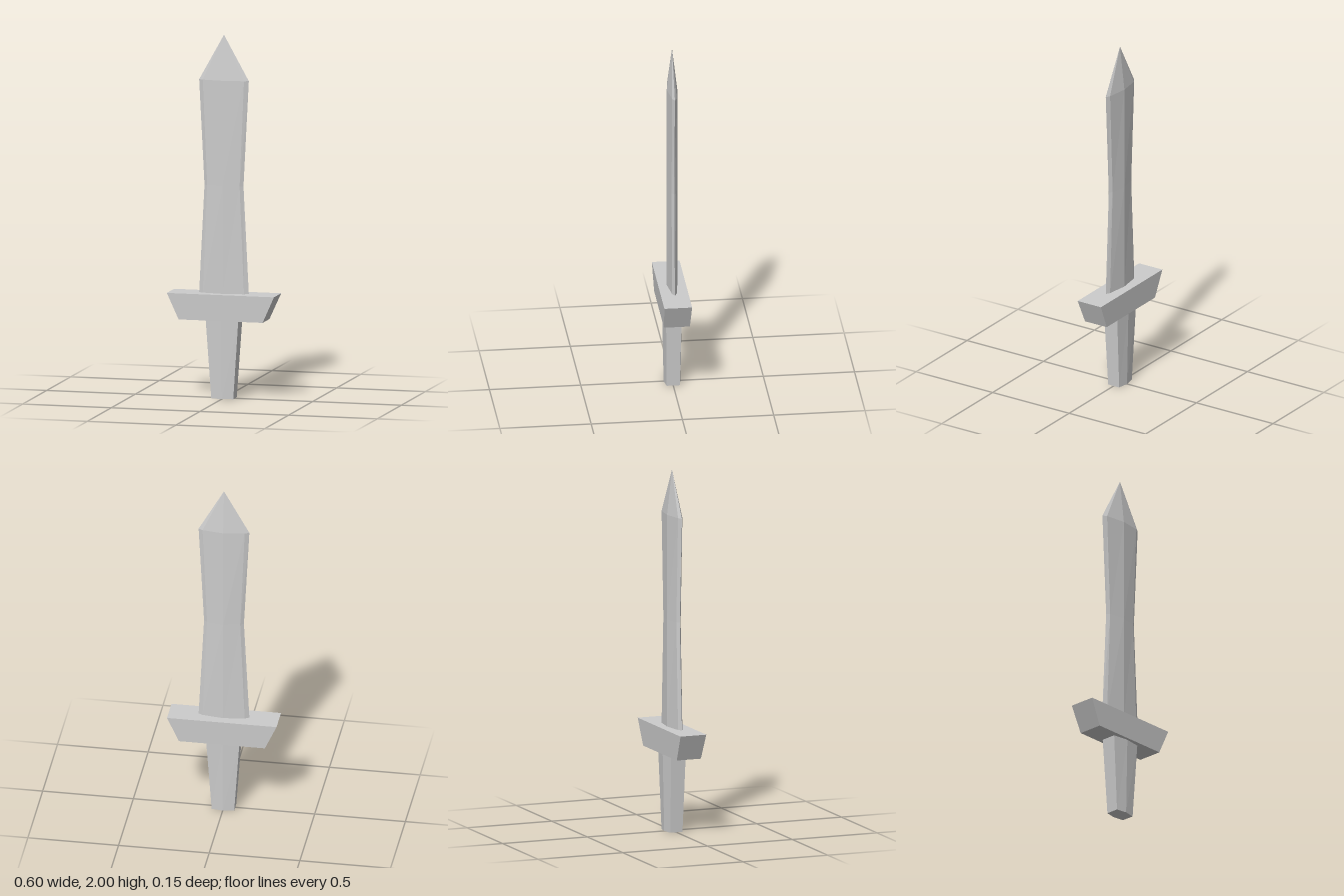
import * as THREE from 'three';

const material = new THREE.MeshStandardMaterial({ color: 0xcccccc, flatShading: true });

// Skins a closed solid through levels { y, sx, sz }, each a scaled copy of the [x, z] section.
function loft(name, section, levels) {
  const n = section.length;
  const rings = levels.map(({ y, sx, sz }) => section.map(([x, z]) => [x * sx, y, z * sz]));
  const pos = [];
  const tri = (...corners) => corners.forEach((c) => pos.push(...c));
  for (let k = 0; k < rings.length - 1; k++) {
    const pointed = levels[k + 1].sx === 0;
    for (let i = 0; i < n; i++) {
      const j = (i + 1) % n;
      const lo = rings[k], hi = rings[k + 1];
      tri(lo[i], hi[i], lo[j]);
      if (!pointed) tri(lo[j], hi[i], hi[j]);
    }
  }
  // End caps
  const first = rings[0], last = rings[rings.length - 1];
  for (let i = 1; i < n - 1; i++) {
    tri(first[0], first[i], first[i + 1]);
    if (levels[levels.length - 1].sx > 0) tri(last[0], last[i + 1], last[i]);
  }
  const geometry = new THREE.BufferGeometry();
  geometry.setAttribute('position', new THREE.Float32BufferAttribute(pos, 3));
  geometry.computeVertexNormals();
  const mesh = new THREE.Mesh(geometry, material);
  mesh.name = name;
  return mesh;
}

export function createModel() {
  const group = new THREE.Group();
  group.name = 'shortSword';

  // Grip: six-sided with ridges front and back, tapering to the base
  const hexagon = [[1, -0.78], [1, 0.78], [0, 1], [-1, 0.78], [-1, -0.78], [0, -1]];
  group.add(loft('grip', hexagon, [
    { y: 0, sx: 0.062, sz: 0.046 },
    { y: 0.435, sx: 0.092, sz: 0.055 },
  ]));

  // Crossguard: block flaring upward
  const square = [[1, -1], [1, 1], [-1, 1], [-1, -1]];
  group.add(loft('crossguard', square, [
    { y: 0.433, sx: 0.237, sz: 0.071 },
    { y: 0.577, sx: 0.302, sz: 0.076 },
  ]));

  // Blade: ridged section with bevelled edges, waisted, ending in a point
  const bladeSection = [[1, 0], [0.83, 0.44], [0, 1], [-0.83, 0.44],
    [-1, 0], [-0.83, -0.44], [0, -1], [0.83, -0.44]];
  group.add(loft('blade', bladeSection, [
    { y: 0.577, sx: 0.14, sz: 0.029 },
    { y: 1.17, sx: 0.11, sz: 0.029 },
    { y: 1.75, sx: 0.14, sz: 0.029 },
    { y: 2, sx: 0, sz: 0 },
  ]));

  return group;
}
